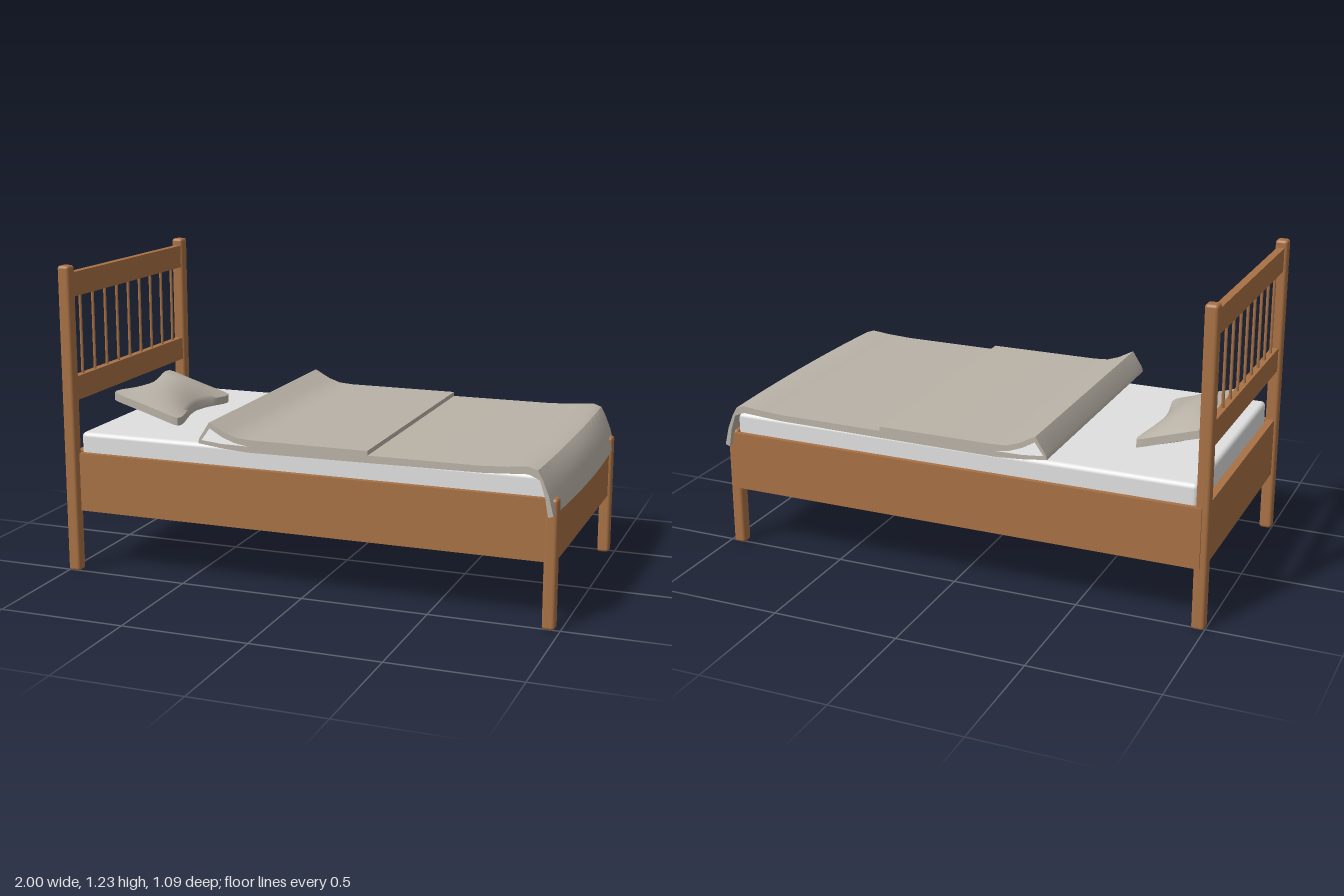
import * as THREE from 'three';
import { mergeVertices, toCreasedNormals } from 'three/addons/utils/BufferGeometryUtils.js';
import { RoundedBoxGeometry } from 'three/addons/geometries/RoundedBoxGeometry.js';

const wood = new THREE.MeshStandardMaterial({ name: 'wood', color: 0xa87145 });
const sheet = new THREE.MeshStandardMaterial({ name: 'mattress white', color: 0xe0e0e0 });
const linen = new THREE.MeshStandardMaterial({ name: 'linen grey', color: 0xb9b2a7 });

// Box given by its extents, with optional rounded edges
function block(name, [x0, x1], [y0, y1], [z0, z1], material, radius = 0) {
  const size = [x1 - x0, y1 - y0, z1 - z0];
  const geometry = radius ? new RoundedBoxGeometry(...size, 2, radius) : new THREE.BoxGeometry(...size);
  const mesh = new THREE.Mesh(geometry, material);
  mesh.name = name;
  mesh.position.set((x0 + x1) / 2, (y0 + y1) / 2, (z0 + z1) / 2);
  return mesh;
}

// Move every vertex by a rule, then smooth all but the sharp edges
function bend(geometry, rule, crease) {
  const p = geometry.attributes.position;
  const v = new THREE.Vector3();
  for (let i = 0; i < p.count; i++) {
    rule(v.fromBufferAttribute(p, i));
    p.setXYZ(i, v.x, v.y, v.z);
  }
  geometry.deleteAttribute('normal');
  geometry.deleteAttribute('uv');
  return toCreasedNormals(mergeVertices(geometry), crease);
}

function makeFrame() {
  const frame = new THREE.Group();
  frame.name = 'frame';
  // Posts
  for (const z of [0.486, -0.492]) {
    const depth = [z - 0.026, z + 0.026];
    frame.add(block('headPost', [-1, -0.95], [0, 1.225], depth, wood, 0.012));
    frame.add(block('footPost', [0.932, 0.98], [0, 0.49], depth, wood, 0.012));
  }
  // Headboard rails and spindles
  const span = [-0.475, 0.47];
  frame.add(block('headTopRail', [-0.988, -0.958], [1.1, 1.195], span, wood));
  frame.add(block('headLowerRail', [-0.988, -0.958], [0.69, 0.785], span, wood));
  for (let i = 0; i < 9; i++) {
    const spindle = new THREE.Mesh(new THREE.CylinderGeometry(0.006, 0.006, 0.33, 8), wood);
    spindle.name = 'spindle';
    spindle.position.set(-0.973, 0.942, 0.39 - i * 0.0985);
    frame.add(spindle);
  }
  // End panels, side rails and base
  const rail = [0.245, 0.48];
  frame.add(block('headPanel', [-0.988, -0.958], rail, span, wood));
  frame.add(block('footPanel', [0.942, 0.968], rail, span, wood));
  frame.add(block('leftSideRail', [-0.975, 0.955], rail, [0.455, 0.48], wood));
  frame.add(block('rightSideRail', [-0.975, 0.955], rail, [-0.525, -0.503], wood));
  frame.add(block('base', [-0.96, 0.945], [0.247, 0.27], [-0.505, 0.457], wood));
  return frame;
}

// Folded blanket: side profile with the open loop of the turned-back edge
function makeBlanket() {
  const toPoints = (list) => list.map(([x, y]) => new THREE.Vector2(x, y));
  const profile = new THREE.Shape(toPoints([
    [0.977, 0.436], [0.964, 0.51], [0.937, 0.568], [0.88, 0.582], [0.72, 0.572], [0.28, 0.568],
    [-0.2, 0.565], [-0.3, 0.572], [-0.398, 0.584], [-0.393, 0.603], [-0.352, 0.667], [-0.343, 0.663],
    [-0.29, 0.634], [-0.24, 0.617], [-0.18, 0.613], [0.28, 0.613], [0.281, 0.596],
    [0.7, 0.597], [0.8, 0.602], [0.88, 0.61], [0.925, 0.601], [0.952, 0.572], [0.978, 0.515], [0.996, 0.443],
  ]));
  profile.holes.push(new THREE.Path(toPoints([
    [-0.384, 0.597], [-0.35, 0.645], [-0.3, 0.616], [-0.25, 0.597], [-0.19, 0.588], [-0.3, 0.589],
  ])));
  const width = 1.094;
  const geometry = new THREE.ExtrudeGeometry(profile, { depth: width, steps: 14, bevelEnabled: false });
  geometry.translate(0, 0, -width / 2 - 0.002);
  // The hanging end bows outwards in the middle
  const shaped = bend(geometry, (v) => {
    const edge = (v.z / 0.55) ** 2;
    const hang = THREE.MathUtils.smoothstep(v.x, 0.88, 0.97);
    v.x -= 0.024 * edge * hang;
    v.y -= 0.006 * edge * hang;
  }, 0.6);
  const blanket = new THREE.Mesh(shaped, linen);
  blanket.name = 'blanket';
  return blanket;
}

// Pillow: plump in the middle, pinched at the waist, leaning up to the headboard
function makePillow() {
  const geometry = bend(new THREE.BoxGeometry(2, 2, 2, 16, 1, 24), (v) => {
    const { x: u, y: side, z: w } = v;
    const waist = 1 - 0.27 * Math.cos(w * Math.PI / 2) ** 1.6 - 0.06 * Math.abs(w) ** 12;
    const half = 0.016 + 0.046 * (1 - u * u) * (1 - w * w);
    v.x = 0.148 * u * waist;
    v.z = 0.253 * w * (1 - 0.03 * Math.abs(u) ** 12 - 0.015 * (1 - u * u));
    v.y = Math.max(0.622 - 0.305 * v.x + side * half, 0.558);
  }, 0.9);
  const pillow = new THREE.Mesh(geometry, linen);
  pillow.name = 'pillow';
  pillow.position.set(-0.777, 0, -0.007);
  return pillow;
}

export function createModel() {
  const bed = new THREE.Group();
  bed.name = 'bed';
  bed.add(makeFrame());
  bed.add(block('mattress', [-0.952, 0.938], [0.28, 0.56], [-0.505, 0.457], sheet, 0.018));
  bed.add(makeBlanket());
  bed.add(makePillow());
  return bed;
}
